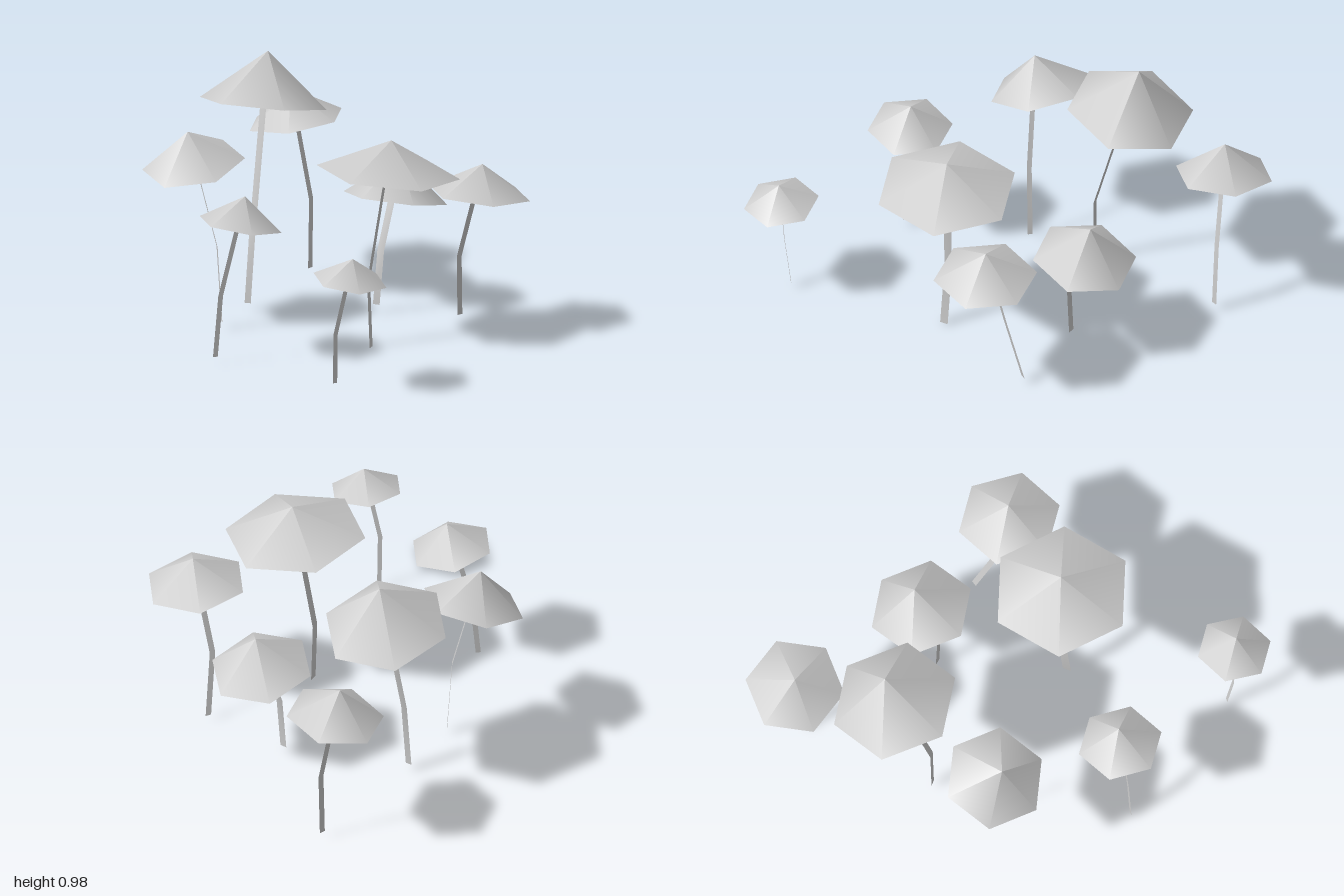
import * as THREE from 'three';

const material = new THREE.MeshStandardMaterial({ color: 0xcccccc, side: THREE.DoubleSide });
const UP = new THREE.Vector3(0, 1, 0);

// rim: centre of the cap's rim; r, h: cap size; spin: degrees; slope: tilt of the rim along x and z
// base, mid: lower points of the stem; width: horizontal vector across the stem ribbon
const mushrooms = [
  { rim: [-0.19, 0.61, -0.813], r: 0.191, h: 0.127, spin: -24, slope: [0.15, 0],
    base: [-0.133, 0.03, -0.785], mid: [-0.13, 0.3, -0.795], width: [0.015, -0.019] },
  { rim: [-0.298, 0.782, -0.428], r: 0.248, h: 0.203, spin: 9, slope: [-0.08, 0.19],
    base: [-0.352, 0.03, -0.28], mid: [-0.335, 0.3, -0.285], width: [0.024, 0.008] },
  { rim: [-0.35, 0.545, 0.437], r: 0.164, h: 0.112, spin: 12, slope: [-0.15, 0.05],
    base: [-0.445, 0.03, 0.48], mid: [-0.425, 0.27, 0.47], width: [0.018, -0.008] },
  { rim: [-0.549, 0.65, -0.035], r: 0.2, h: 0.14, spin: 3, slope: [0.16, -0.21],
    base: [-0.44, 0.03, -0.013], mid: [-0.458, 0.33, -0.006], width: [0.005, 0.018] },
  { rim: [0.205, 0.69, 0.192], r: 0.276, h: 0.126, spin: 0, slope: [-0.093, 0.02],
    base: [0.14, 0, 0.215], mid: [0.13, 0.26, 0.2], width: [-0.01, 0.031] },
  { rim: [0.211, 0.435, -0.345], r: 0.203, h: 0.157, spin: 8, slope: [-0.11, 0.17],
    base: [0.14, 0.03, -0.28], mid: [0.157, 0.245, -0.275], width: [0.026, 0.012] },
  { rim: [0.545, 0.55, -0.021], r: 0.2, h: 0.116, spin: 12, slope: [-0.1, 0.03],
    base: [0.465, 0.03, -0.153], mid: [0.465, 0.28, -0.085], width: [-0.018, 0.015] },
  { rim: [0.085, 0.447, 0.857], r: 0.145, h: 0.088, spin: 12, slope: [-0.125, -0.09],
    base: [0.027, 0.03, 0.83], mid: [0.03, 0.23, 0.855], width: [0.016, -0.006] },
];

// Open six-sided cone with its rim centred on the origin, then tilted
function makeCap({ rim, r, h, spin, slope }, normal) {
  const geometry = new THREE.ConeGeometry(r, h, 6, 1, true);
  geometry.translate(0, h / 2, 0);
  geometry.rotateY(THREE.MathUtils.degToRad(30 - spin));
  const cap = new THREE.Mesh(geometry, material);
  cap.name = 'cap';
  cap.position.set(...rim);
  cap.quaternion.setFromUnitVectors(UP, normal);
  return cap;
}

// Flat bent ribbon through the given points
function makeStem(points, [wx, wz]) {
  const positions = [];
  const index = [];
  points.forEach((p, i) => {
    positions.push(p.x - wx / 2, p.y, p.z - wz / 2, p.x + wx / 2, p.y, p.z + wz / 2);
    if (i > 0) {
      const a = 2 * (i - 1);
      index.push(a, a + 1, a + 3, a, a + 3, a + 2);
    }
  });
  const geometry = new THREE.BufferGeometry();
  geometry.setAttribute('position', new THREE.Float32BufferAttribute(positions, 3));
  geometry.setIndex(index);
  geometry.computeVertexNormals();
  const stem = new THREE.Mesh(geometry, material);
  stem.name = 'stem';
  return stem;
}

export function createModel() {
  const group = new THREE.Group();
  group.name = 'mushroomCluster';
  mushrooms.forEach((m, i) => {
    const normal = new THREE.Vector3(-m.slope[0], 1, -m.slope[1]).normalize();
    // The stem ends just under the tip of the cap
    const top = new THREE.Vector3(...m.rim).addScaledVector(normal, m.h * 0.92);
    const points = [new THREE.Vector3(...m.base), new THREE.Vector3(...m.mid), top];
    const mushroom = new THREE.Group();
    mushroom.name = `mushroom${i + 1}`;
    mushroom.add(makeCap(m, normal), makeStem(points, m.width));
    group.add(mushroom);
  });
  return group;
}
